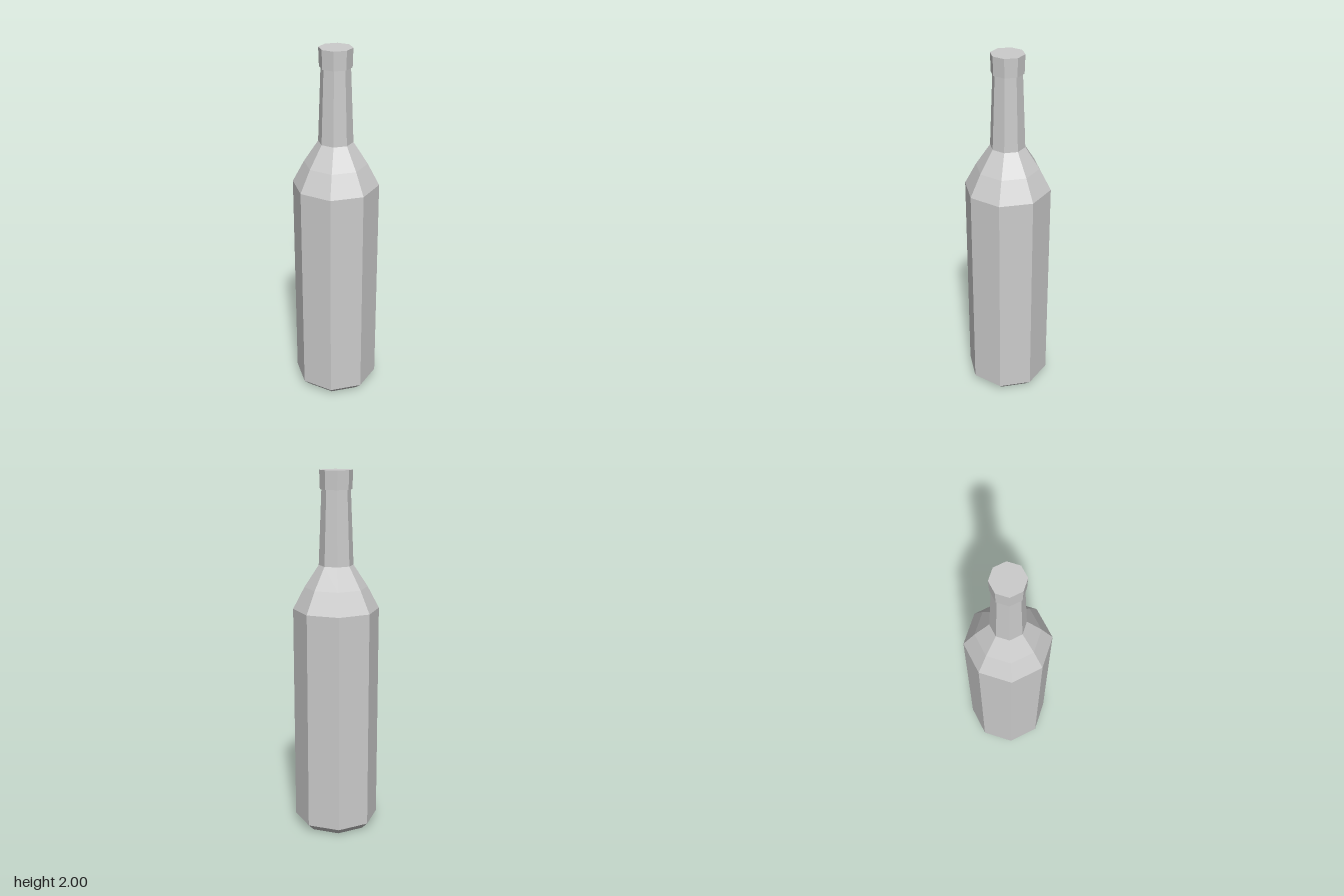
import * as THREE from 'three';

const SIDES = 8;

// Faceted solid of revolution from [radius, height] pairs, listed bottom to top
function turned(name, profile, material) {
  const points = profile.map(([r, y]) => new THREE.Vector2(r, y));
  const mesh = new THREE.Mesh(new THREE.LatheGeometry(points, SIDES), material);
  mesh.name = name;
  return mesh;
}

export function createModel() {
  const group = new THREE.Group();
  group.name = 'bottle';
  const material = new THREE.MeshStandardMaterial({ color: 0xcccccc, flatShading: true });

  // Chamfered base and straight body
  group.add(turned('body', [[0, 0], [0.195, 0], [0.235, 0.04], [0.235, 1.26]], material));

  // Shoulder in two slopes
  group.add(turned('shoulder', [[0.235, 1.26], [0.172, 1.38], [0.094, 1.5]], material));

  // Tapered neck
  group.add(turned('neck', [[0.094, 1.5], [0.078, 1.9]], material));

  // Lip with a closed top
  group.add(turned('lip', [[0.078, 1.9], [0.086, 1.9], [0.089, 2], [0, 2]], material));

  return group;
}
